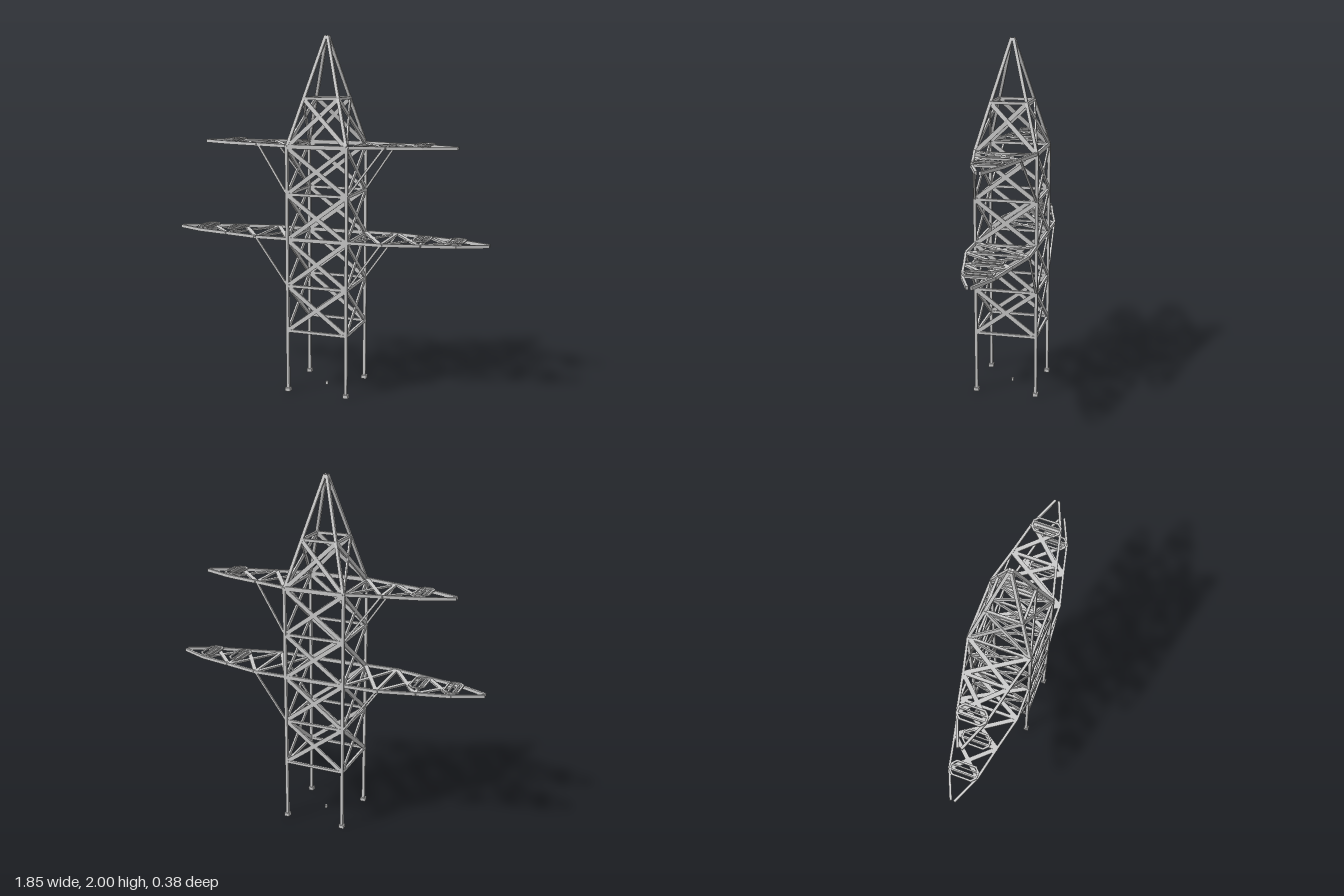
import * as THREE from 'three';

const V = (x, y, z) => new THREE.Vector3(x, y, z);
const UP = V(0, 1, 0);

export function createModel() {
  const tower = new THREE.Group();
  tower.name = 'latticeTower';
  const mat = new THREE.MeshStandardMaterial({ color: 0xcccccc, flatShading: true });

  const add = (parent, name, geometry) => {
    const m = new THREE.Mesh(geometry, mat);
    m.name = name;
    parent.add(m);
    return m;
  };
  const group = (name, parent = tower) => {
    const g = new THREE.Group();
    g.name = name;
    parent.add(g);
    return g;
  };
  // Straight bar from a to b; thickness t runs along the normal n, width w across it
  const bar = (parent, name, a, b, w, t, n) => {
    const d = b.clone().sub(a);
    const m = add(parent, name, new THREE.BoxGeometry(w, d.length(), t));
    d.normalize();
    const side = new THREE.Vector3().crossVectors(d, n).normalize();
    const out = new THREE.Vector3().crossVectors(side, d);
    m.quaternion.setFromRotationMatrix(new THREE.Matrix4().makeBasis(side, d, out));
    m.position.copy(a).add(b).multiplyScalar(0.5);
    return m;
  };

  const R = 0.173, SHOULDER = 1.4, TOP = 2.0;
  const half = y => (y <= SHOULDER ? R : 0.005 + (R - 0.005) * (TOP - y) / (TOP - SHOULDER));

  // Legs, feet and the sloping peak
  for (const sx of [-1, 1]) for (const sz of [-1, 1]) {
    const leg = group('leg');
    bar(leg, 'post', V(sx * R, 0.01, sz * R), V(sx * R, SHOULDER, sz * R), 0.017, 0.017, V(0, 0, 1));
    bar(leg, 'peakLeg', V(sx * R, SHOULDER - 0.005, sz * R), V(sx * 0.005, TOP - 0.003, sz * 0.005), 0.017, 0.017, V(0, 0, sz));
    add(leg, 'foot', new THREE.BoxGeometry(0.03, 0.02, 0.03)).position.set(sx * R, 0.01, sz * R);
  }
  add(tower, 'centreMarker', new THREE.BoxGeometry(0.014, 0.018, 0.014)).position.y = 0.009;

  // Body bracing: the same rings and crosses on all four faces
  const levels = [0.357, 0.617, 0.88, 1.135, 1.395, 1.658];
  for (let f = 0; f < 4; f++) {
    const face = group('braceFace');
    face.rotation.y = f * Math.PI / 2;
    levels.forEach((y, i) => {
      const h = half(y);
      bar(face, 'ringBar', V(-h, y, h), V(h, y, h), 0.016, 0.014, V(0, 0, 1));
      const y2 = levels[i + 1];
      if (!y2) return;
      const h2 = half(y2);
      for (const s of [-1, 1])
        bar(face, 'crossBrace', V(-s * h, y, h), V(s * h2, y2, h2), 0.024, 0.01, V(0, 0, 1));
    });
  }

  // Elongated octagonal ring, laid flat
  const octagon = (a, b, c) => [[a, b - c], [a - c, b], [c - a, b], [-a, b - c],
    [-a, c - b], [c - a, -b], [a - c, -b], [a, c - b]].map(p => new THREE.Vector2(...p));
  const ringShape = new THREE.Shape(octagon(0.046, 0.083, 0.026));
  ringShape.holes.push(new THREE.Path(octagon(0.035, 0.072, 0.02)));
  const ringGeo = new THREE.ExtrudeGeometry(ringShape, { depth: 0.008, bevelEnabled: false });
  ringGeo.rotateX(-Math.PI / 2);

  // Cross-arm: chord stations are [x, half depth]
  const arm = (name, y, stations, rings, strutFoot, s) => {
    const g = group(name);
    const P = (i, sz) => V(s * stations[i][0], y, sz * stations[i][1]);
    const last = stations.length - 1;
    for (let i = 0; i < last; i++) {
      for (const sz of [-1, 1]) {
        bar(g, 'chord', P(i, sz), P(i + 1, sz), 0.014, 0.018, UP);
        if (i < last - 1) bar(g, 'armBrace', P(i, sz), P(i + 1, -sz), 0.024, 0.01, UP);
      }
      if (i > 0) bar(g, 'armCrossbar', P(i, -1), P(i, 1), 0.018, 0.012, UP);
    }
    // Diagonal struts below the arm
    for (const sz of [-1, 1])
      bar(g, 'strut', V(s * R, strutFoot, sz * R), P(1, sz), 0.011, 0.011, V(0, 0, 1));
    // Cable carriers on top
    for (const x of rings) {
      const c = group('cableCarrier', g);
      c.position.set(s * x, y + 0.012, 0);
      add(c, 'carrierRing', ringGeo);
      for (const dx of [-0.015, 0.015])
        add(c, 'carrierRail', new THREE.BoxGeometry(0.008, 0.012, 0.15)).position.set(dx, -0.002, 0);
    }
  };
  for (const s of [-1, 1]) {
    arm('lowerArm', 0.885, [[R, R], [0.365, R], [0.565, 0.125], [0.755, 0.083], [0.92, 0.01]],
      [0.555, 0.745], 0.617, s);
    arm('upperArm', 1.402, [[R, R], [0.365, 0.125], [0.565, 0.08], [0.74, 0.01]],
      [0.56], 1.135, s);
  }
  // Chords carried through the body
  for (const y of [0.885, 1.402]) for (const sz of [-1, 1])
    bar(tower, 'throughChord', V(-R, y, sz * R), V(R, y, sz * R), 0.014, 0.018, UP);

  return tower;
}
